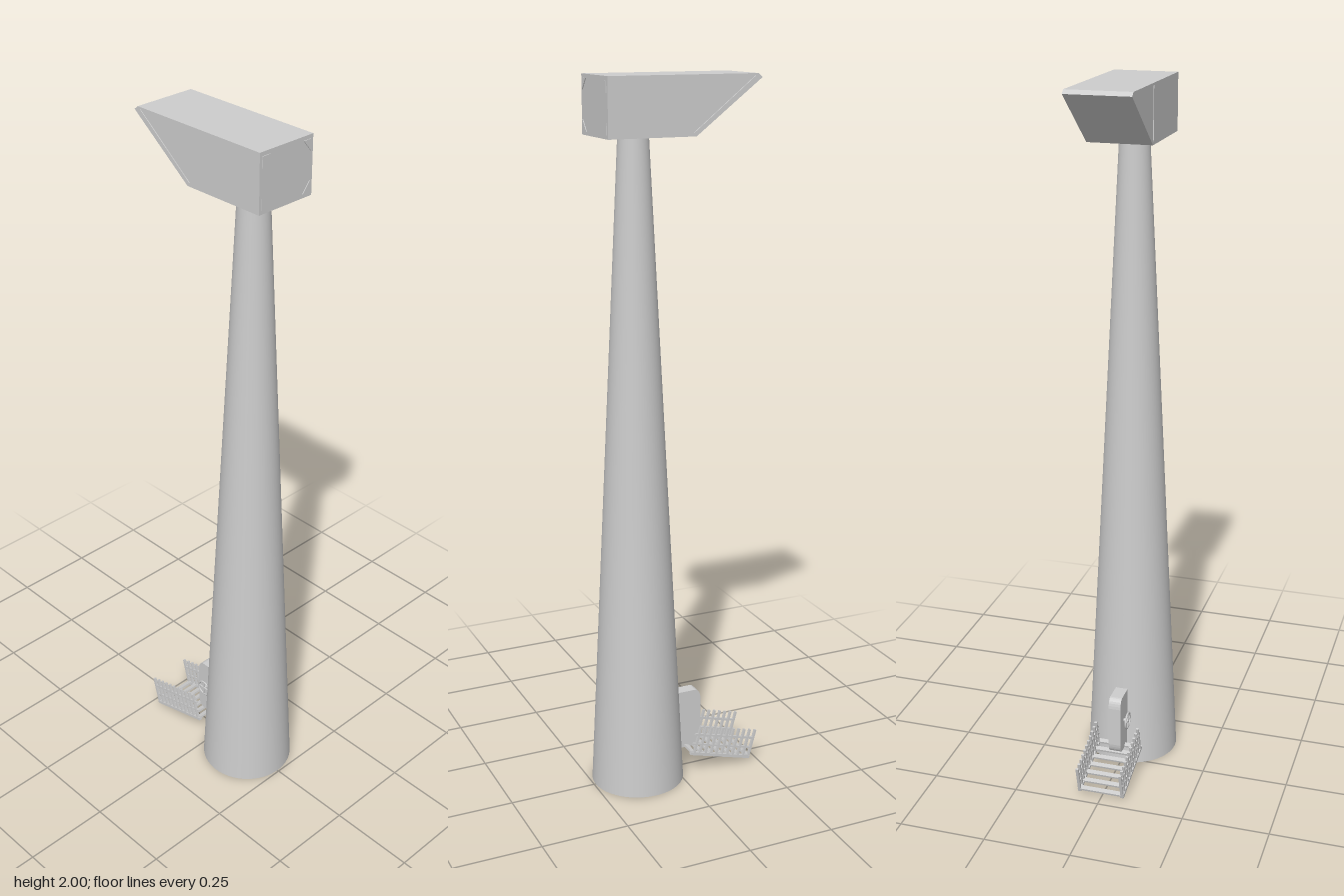
import * as THREE from 'three';

export function createModel() {
  const model = new THREE.Group();
  const grey = new THREE.MeshStandardMaterial({ color: 0xcccccc });
  grey.name = 'light grey';

  const add = (parent, name, geometry, x = 0, y = 0, z = 0) => {
    const mesh = new THREE.Mesh(geometry, grey);
    mesh.name = name;
    mesh.position.set(x, y, z);
    parent.add(mesh);
    return mesh;
  };
  const box = (parent, name, w, h, d, x, y, z) => add(parent, name, new THREE.BoxGeometry(w, h, d), x, y, z);
  // Extrudes an XY outline between two z values
  const slab = (parent, name, points, z0, z1) => {
    const shape = new THREE.Shape(points.map(([x, y]) => new THREE.Vector2(x, y)));
    const geometry = new THREE.ExtrudeGeometry(shape, { depth: z1 - z0, bevelEnabled: false });
    return add(parent, name, geometry, 0, 0, z0);
  };

  // Tapered tower
  add(model, 'tower', new THREE.CylinderGeometry(0.041, 0.133, 1.85, 64), 0.112, 0.925, 0);

  // Machine housing: box end, wedge end slightly inset at the back, sloped cover
  const housing = new THREE.Group();
  housing.name = 'housing';
  model.add(housing);
  box(housing, 'housingBody', 0.238, 0.155, 0.178, 0.099, 1.9225, 0);
  slab(housing, 'housingWedge', [[-0.02, 1.85], [-0.02, 2], [-0.205, 2], [-0.205, 1.99]], -0.085, 0.087);
  slab(housing, 'slopedCover', [[-0.028, 1.845], [-0.02, 1.845], [-0.02, 1.853], [-0.205, 2], [-0.217, 1.99]], -0.089, 0.089);
  box(housing, 'roofPlate', 0.2, 0.006, 0.178, -0.105, 1.997, 0);

  // Triangular corner plates on the end of the housing
  for (const sy of [-1, 1]) for (const sz of [-1, 1]) {
    const corner = [[0, 0], [-0.025 * sz, 0], [0, -0.03 * sy]];
    const plate = slab(housing, 'cornerPlate', corner, 0, 0.003);
    plate.rotation.y = Math.PI / 2;
    plate.position.set(0.217, 1.9225 + sy * 0.067, -sz * 0.081);
  }

  // Open door with rounded outer corners
  const door = new THREE.Group();
  door.name = 'door';
  model.add(door);
  const outline = new THREE.Shape();
  outline.moveTo(0, 0.066);
  outline.lineTo(0, 0.245);
  outline.lineTo(-0.065, 0.245);
  outline.quadraticCurveTo(-0.08, 0.243, -0.083, 0.215);
  outline.lineTo(-0.083, 0.095);
  outline.quadraticCurveTo(-0.08, 0.068, -0.065, 0.066);
  add(door, 'doorPanel', new THREE.ExtrudeGeometry(outline, { depth: 0.036, bevelEnabled: false, curveSegments: 6 }), 0, 0, -0.018);

  // Hand wheel on the door
  add(door, 'wheelRim', new THREE.TorusGeometry(0.023, 0.003, 8, 28), -0.048, 0.163, 0.03);
  box(door, 'wheelSpoke', 0.046, 0.004, 0.004, -0.048, 0.163, 0.03);
  box(door, 'wheelSpoke', 0.004, 0.046, 0.004, -0.048, 0.163, 0.03);
  const hub = add(door, 'wheelHub', new THREE.CylinderGeometry(0.005, 0.005, 0.018, 12), -0.048, 0.163, 0.024);
  hub.rotation.x = Math.PI / 2;

  // Sloping stair, built flat and then tilted up to the door
  const stair = new THREE.Group();
  stair.name = 'stair';
  stair.position.set(-0.22, 0.012, 0);
  stair.rotation.z = 0.27;
  model.add(stair);
  for (const z of [-0.064, 0.064]) {
    box(stair, 'stringer', 0.2, 0.009, 0.01, 0.1, 0.0045, z);
    box(stair, 'handRail', 0.2, 0.006, 0.007, 0.1, 0.064, z);
    box(stair, 'lowerRail', 0.2, 0.005, 0.006, 0.1, 0.034, z);
    for (let i = 0; i < 11; i++) {
      box(stair, 'picket', 0.006, 0.09, 0.008, 0.003 + i * 0.0185, 0.045, z);
    }
  }
  for (let i = 0; i < 7; i++) {
    box(stair, 'tread', 0.014, 0.006, 0.128, 0.007 + i * 0.031, 0.008, 0);
  }

  return model;
}
